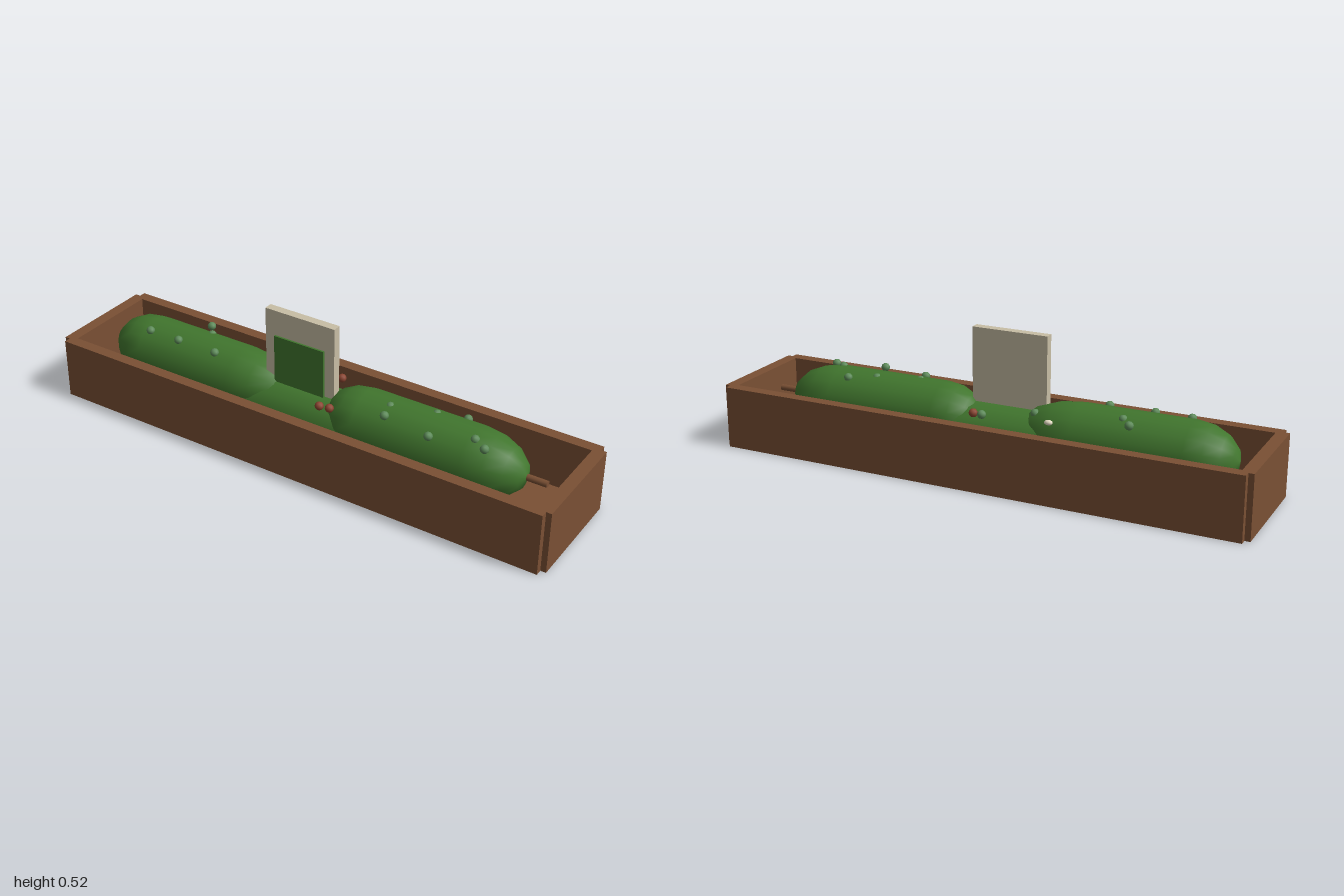
import * as THREE from 'three';

export function createModel() {
  const model = new THREE.Group();
  const mat = (name, color, side = THREE.FrontSide) => {
    const m = new THREE.MeshStandardMaterial({ color, side });
    m.name = name;
    return m;
  };
  const wood = mat('brown wood', 0x7a5034);
  const leaf = mat('leaf green', 0x41762e);
  const stone = mat('pale board', 0xc8bea5);
  const bud = mat('bud green', 0x5c8a58);
  const berry = mat('berry red', 0x8a4430);
  const cream = mat('cream', 0xe4dcc4);

  const add = (name, geo, material, x = 0, y = 0, z = 0) => {
    const mesh = new THREE.Mesh(geo, material);
    mesh.name = name;
    mesh.position.set(x, y, z);
    model.add(mesh);
    return mesh;
  };

  // Trough walls: notched corners outside, open rectangle inside
  const H = 0.23;
  const outer = [
    [-0.98, -0.23], [0.98, -0.23], [0.98, -0.205], [1, -0.205], [1, 0.205], [0.98, 0.205],
    [0.98, 0.23], [-0.98, 0.23], [-0.98, 0.205], [-1, 0.205], [-1, -0.205], [-0.98, -0.205],
  ];
  const inner = [[-0.955, -0.187], [-0.955, 0.187], [0.955, 0.187], [0.955, -0.187]];
  const points = (list) => list.map(([x, y]) => new THREE.Vector2(x, y));
  const outline = new THREE.Shape(points(outer));
  outline.holes.push(new THREE.Path(points(inner)));
  const walls = new THREE.ExtrudeGeometry(outline, { depth: H, bevelEnabled: false });
  walls.rotateX(-Math.PI / 2);
  add('troughWalls', walls, wood);
  add('troughFloor', new THREE.BoxGeometry(1.92, 0.039, 0.384), wood, 0, 0.0205, 0);

  // Rounded hedge: a capsule lying along x, each end with its own length
  const R = 0.12;
  const hedge = (name, x0, capA, x1, capB, y) => {
    const profile = [];
    for (let i = 0; i <= 4; i++) {
      const a = (i / 4) * Math.PI / 2;
      profile.push(new THREE.Vector2(R * Math.sin(a), x0 + capA * (1 - Math.cos(a))));
    }
    for (let i = 0; i <= 4; i++) {
      const a = (i / 4) * Math.PI / 2;
      profile.push(new THREE.Vector2(R * Math.cos(a), x1 - capB * (1 - Math.sin(a))));
    }
    const geo = new THREE.LatheGeometry(profile, 16);
    geo.rotateZ(-Math.PI / 2);
    add(name, geo, leaf, 0, y, 0);
  };
  hedge('rightHedge', -0.895, 0.165, -0.1, 0.23, 0.177);
  hedge('leftHedge', 0.04, 0.16, 0.82, 0.2, 0.177);
  hedge('middleHedge', -0.4, 0.12, 0.4, 0.12, 0.125);

  // Twig sticking out of the left end
  const twig = new THREE.CylinderGeometry(0.012, 0.012, 0.14, 8);
  twig.rotateZ(Math.PI / 2);
  add('twig', twig, wood, 0.82, 0.177, -0.002);

  // Upright board with a green panel on its front
  add('board', new THREE.BoxGeometry(0.285, 0.516, 0.032), stone, -0.058, 0.258, 0.016);
  add('boardPanel', new THREE.BoxGeometry(0.205, 0.22, 0.008), leaf, -0.058, 0.31, 0.036);

  // Small buds and berries
  const ball = new THREE.IcosahedronGeometry(0.016, 1);
  const scatter = (name, material, list) =>
    list.forEach(([x, y, z]) => add(name, ball, material, x, y, z));
  scatter('bud', bud, [
    [-0.54, 0.28, -0.095], [-0.5, 0.28, -0.045], [-0.705, 0.283, 0.06], [-0.575, 0.283, 0.06],
    [-0.41, 0.283, 0.06], [-0.175, 0.25, -0.04], [0, 0.237, -0.1], [0.56, 0.28, -0.06],
    [0.46, 0.283, -0.025], [0.305, 0.283, 0.02], [0.315, 0.28, 0.077], [0.5, 0.28, 0.105],
    [0.64, 0.283, 0.04], [0.69, 0.28, 0.07],
  ]);
  scatter('berry', berry, [[0.03, 0.24, -0.105], [0.063, 0.238, 0.092], [0.1, 0.238, 0.085]]);
  const petal = add('paleBud', ball, cream, -0.25, 0.245, -0.095);
  petal.scale.set(1, 0.6, 0.7);

  return model;
}
